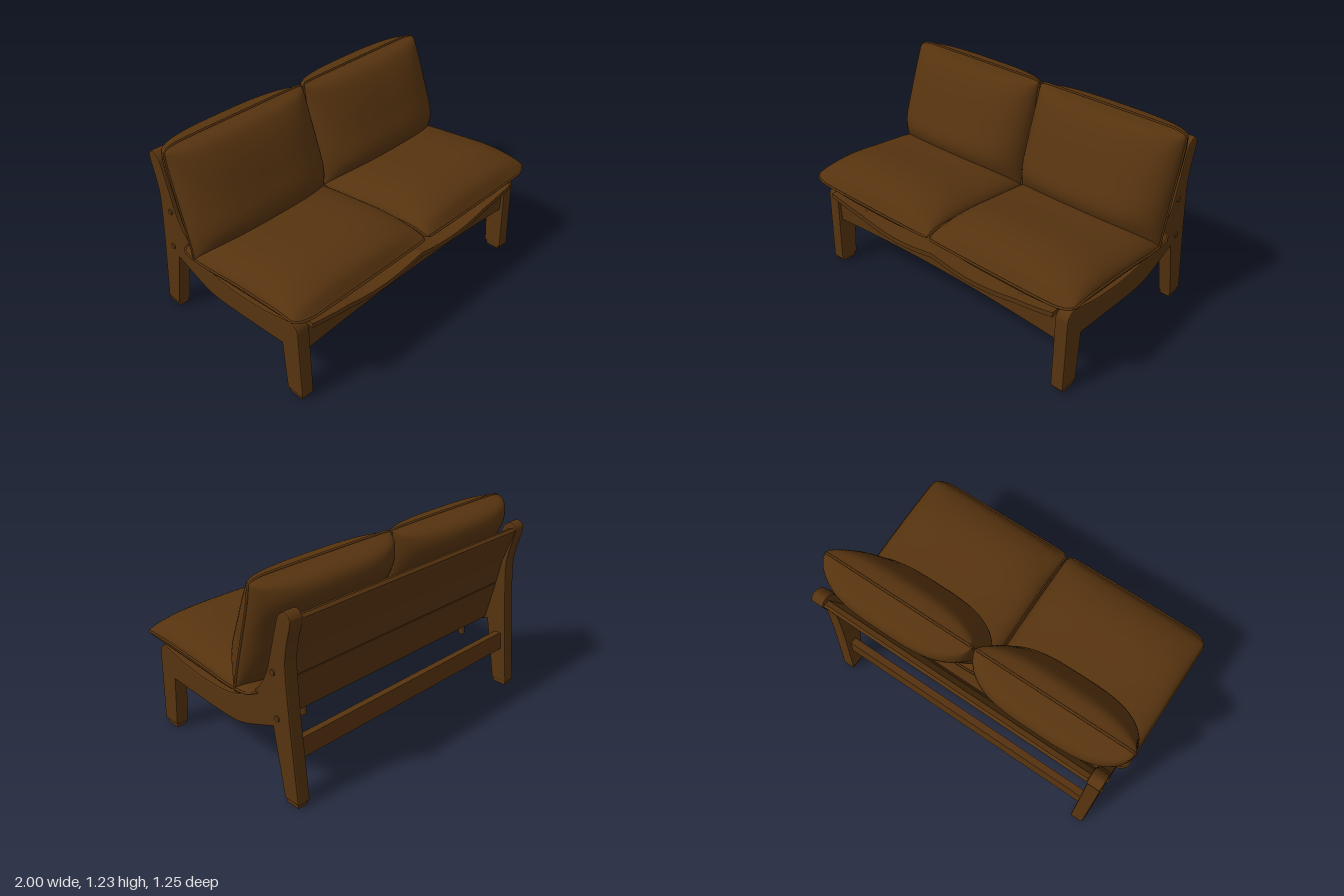
import * as THREE from 'three';

const brown = new THREE.MeshStandardMaterial({ color: 0x56330f });
brown.name = 'dark brown';

const add = (parent, geo, name) => {
  const mesh = new THREE.Mesh(geo, brown);
  mesh.name = name;
  parent.add(mesh);
  return mesh;
};
const spline = pts => new THREE.CatmullRomCurve3(pts.map(([z, y]) => new THREE.Vector3(0, y, z)));
const v2 = pts => pts.map(([a, b]) => new THREE.Vector2(a, b));

// Extrudes a (z, y) outline along x, centred on x = cx
function extrudeAcross(shape, width, cx, bevel = 0) {
  const geo = new THREE.ExtrudeGeometry(shape, {
    depth: width - 2 * bevel, curveSegments: 10, bevelEnabled: bevel > 0,
    bevelSize: bevel, bevelThickness: bevel, bevelOffset: -bevel, bevelSegments: 2,
  });
  geo.translate(0, 0, bevel - width / 2);
  geo.rotateY(-Math.PI / 2);
  geo.translate(cx, 0, 0);
  return geo;
}

// Side frame: front leg, sweeping seat rail and tall back leg in one board
function frameShape() {
  const s = new THREE.Shape();
  s.moveTo(0.575, 0.025);
  s.lineTo(0.558, 0.48);
  s.quadraticCurveTo(0.55, 0.535, 0.5, 0.54);
  s.splineThru(v2([[0.42, 0.52], [0.3, 0.495], [0.1, 0.475], [-0.08, 0.483], [-0.2, 0.52],
    [-0.32, 0.6], [-0.4, 0.72], [-0.44, 0.85], [-0.49, 1.03], [-0.515, 1.08],
    [-0.555, 1.102], [-0.59, 1.08], [-0.594, 1.04], [-0.56, 0.9], [-0.55, 0.78], [-0.57, 0.5]]));
  s.lineTo(-0.62, 0.025);
  s.lineTo(-0.515, 0.025);
  s.lineTo(-0.44, 0.425);
  s.splineThru(v2([[-0.3, 0.37], [-0.2, 0.335], [-0.1, 0.32], [0.1, 0.325], [0.43, 0.345]]));
  s.lineTo(0.455, 0.025);
  s.closePath();
  return s;
}

// Pillow skinned between a seam curve and the two faces either side of it
function pillow(parent, name, side, seamPts, facePts, backPts, rStart, rEnd) {
  const group = new THREE.Group();
  group.name = name;
  parent.add(group);
  const seam = spline(seamPts), length = seam.getLength(), nS = 36, nA = 36;
  const inset = (d, r) => d >= r ? 0 : r - Math.sqrt(r * r - (r - d) ** 2);
  const point = (curve, s, a) => {
    const out = 0.992 - inset(s * length, rStart) - inset((1 - s) * length, rEnd);
    const inn = 0.008 + inset(s * length, 0.04) + inset((1 - s) * length, 0.04);
    const x = side * (inn + out) / 2 + a * (out - inn) / 2;
    const swell = Math.sqrt(Math.max(0, 1 - Math.abs(a) ** 3.2));
    const p = seam.getPoint(s).lerp(curve.getPoint(s), swell);
    p.x = x;
    return p;
  };
  const at = (i, n) => (1 - Math.cos(Math.PI * i / n)) / 2;
  [[facePts, false, 'Front'], [backPts, true, 'Back']].forEach(([pts, flip, label]) => {
    const curve = spline(pts), pos = [], idx = [];
    for (let i = 0; i <= nS; i++)
      for (let j = 0; j <= nA; j++) pos.push(...point(curve, at(i, nS), 2 * at(j, nA) - 1).toArray());
    for (let i = 0; i < nS; i++)
      for (let j = 0; j < nA; j++) {
        const p = i * (nA + 1) + j, q = p + nA + 1;
        if (flip) idx.push(p, q, p + 1, p + 1, q, q + 1);
        else idx.push(p, p + 1, q, p + 1, q + 1, q);
      }
    const geo = new THREE.BufferGeometry();
    geo.setAttribute('position', new THREE.Float32BufferAttribute(pos, 3));
    geo.setIndex(idx);
    geo.computeVertexNormals();
    add(group, geo, name + label);
  });
  // Piping along the seam
  const edge = [];
  for (let i = 0; i <= nS; i += 2) edge.push(point(seam, at(i, nS), 1));
  for (let i = nS; i >= 0; i -= 2) edge.push(point(seam, at(i, nS), -1));
  const loop = new THREE.CatmullRomCurve3(edge, true, 'centripetal');
  add(group, new THREE.TubeGeometry(loop, 120, 0.007, 6, true), name + 'Piping');
}

// Scalloped top line of the front apron
const scallop = x => 0.488 - 0.035 * Math.sin(Math.PI * Math.min(1, Math.abs(x) / 0.6)) +
  0.045 * Math.max(0, (Math.abs(x) - 0.55) / 0.31) ** 1.5;

// Board across the front between two height functions
function frontBoard(top, bottom, half, z, depth) {
  const pts = [], n = 32;
  for (let i = 0; i <= n; i++) { const x = -half + 2 * half * i / n; pts.push([x, bottom(x)]); }
  for (let i = n; i >= 0; i--) { const x = -half + 2 * half * i / n; pts.push([x, top(x)]); }
  const geo = new THREE.ExtrudeGeometry(new THREE.Shape(v2(pts)), { depth, bevelEnabled: false });
  return geo.translate(0, 0, z);
}

export function createModel() {
  const model = new THREE.Group();
  model.name = 'twoSeatSofa';

  for (const side of [-1, 1]) {
    const label = side > 0 ? 'left' : 'right';
    const frame = new THREE.Group();
    frame.name = label + 'SideFrame';
    model.add(frame);
    add(frame, extrudeAcross(frameShape(), 0.084, side * 0.9, 0.01), 'frameBoard');

    // Feet
    for (const z of [0.512, -0.565])
      add(frame, new THREE.BoxGeometry(0.064, 0.03, 0.092).translate(side * 0.9, 0.015, z), 'foot');

    // Bolt caps on the outside
    for (const [z, y] of [[-0.457, 0.745], [-0.48, 0.49]]) {
      const cap = new THREE.CylinderGeometry(0.016, 0.018, 0.01, 16).rotateZ(-side * Math.PI / 2);
      add(frame, cap.translate(side * 0.944, y, z), 'boltCap');
    }

    // Fixing knob under the shell
    const knob = add(model, new THREE.CylinderGeometry(0.024, 0.018, 0.07, 14), label + 'Knob');
    knob.position.set(side * 0.68, 0.395, -0.375);
    knob.rotation.x = 0.2;

    // Cushions
    pillow(model, label + 'SeatCushion', side,
      [[0.62, 0.61], [0.54, 0.625], [0.36, 0.62], [0.1, 0.6], [-0.16, 0.57], [-0.33, 0.58]],
      [[0.62, 0.61], [0.555, 0.695], [0.38, 0.747], [0.1, 0.715], [-0.15, 0.68], [-0.33, 0.58]],
      [[0.62, 0.61], [0.565, 0.535], [0.38, 0.495], [0.1, 0.475], [-0.15, 0.485], [-0.33, 0.58]],
      0.14, 0.06);
    pillow(model, label + 'BackCushion', side,
      [[-0.2, 0.53], [-0.22, 0.63], [-0.25, 0.75], [-0.3, 0.93], [-0.345, 1.1], [-0.36, 1.19], [-0.365, 1.223]],
      [[-0.2, 0.53], [-0.08, 0.65], [-0.038, 0.76], [-0.1, 0.93], [-0.19, 1.12], [-0.265, 1.205], [-0.365, 1.223]],
      [[-0.2, 0.53], [-0.31, 0.61], [-0.4, 0.76], [-0.465, 0.95], [-0.535, 1.09], [-0.51, 1.175], [-0.365, 1.223]],
      0.06, 0.12);
  }

  // Curved seat shell
  const seat = new THREE.Shape();
  seat.moveTo(0.47, 0.32);
  seat.lineTo(0.1, 0.315);
  seat.splineThru(v2([[-0.13, 0.316], [-0.25, 0.345], [-0.35, 0.39], [-0.425, 0.44]]));
  seat.lineTo(-0.42, 0.56);
  seat.splineThru(v2([[-0.3, 0.54], [-0.15, 0.465], [0.1, 0.45], [0.47, 0.465]]));
  seat.closePath();
  add(model, extrudeAcross(seat, 1.73, 0), 'seatShell');

  // Back panels, parted by a narrow groove
  const board = pts => extrudeAcross(new THREE.Shape(v2(pts)), 1.73, 0);
  add(model, board([[-0.425, 0.435], [-0.485, 0.685], [-0.43, 0.695], [-0.37, 0.47]]), 'lowerBackPanel');
  add(model, board([[-0.487, 0.693], [-0.52, 0.85], [-0.585, 1.03], [-0.59, 1.055], [-0.575, 1.07],
    [-0.545, 1.06], [-0.47, 0.85], [-0.43, 0.7]]), 'upperBackPanel');
  add(model, board([[-0.478, 0.67], [-0.482, 0.71], [-0.44, 0.71], [-0.43, 0.67]]), 'backGroove');

  // Stretcher between the back legs
  const rail = add(model, new THREE.BoxGeometry(1.73, 0.11, 0.045), 'backStretcher');
  rail.position.set(0, 0.305, -0.535);
  rail.rotation.x = 0.12;

  // Arched front apron with a scalloped lip
  const arch = x => 0.355 - 0.035 * (x / 0.86) ** 2;
  add(model, frontBoard(scallop, arch, 0.87, 0.47, 0.07), 'frontApron');
  add(model, frontBoard(scallop, x => scallop(x) - 0.03, 0.865, 0.53, 0.06), 'frontLip');

  return model;
}
